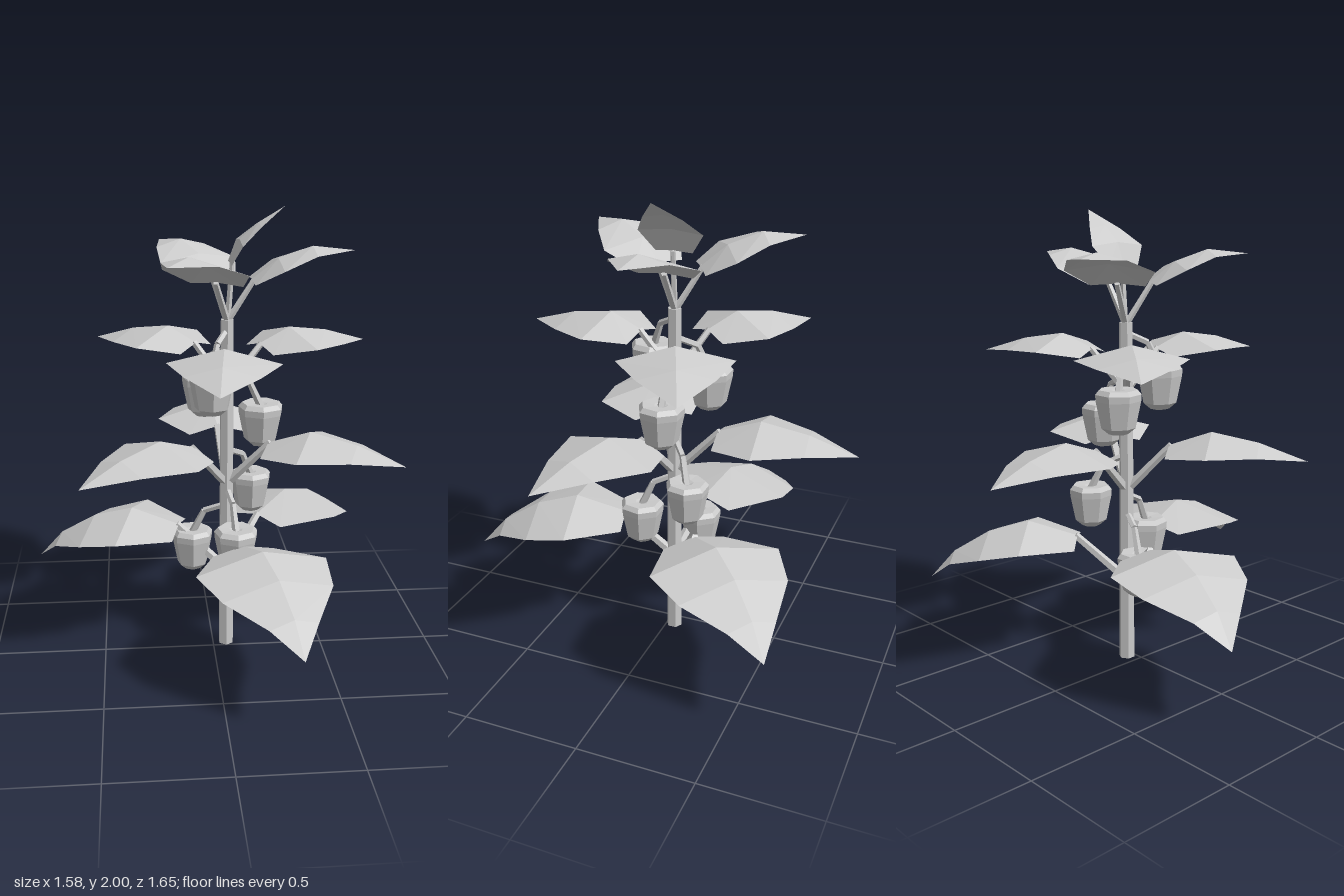
import * as THREE from 'three';

const STEM = new THREE.Vector3(0.06, 0, -0.035);
const solid = new THREE.MeshStandardMaterial({ color: 0xcccccc, flatShading: true });
const sheet = new THREE.MeshStandardMaterial({ color: 0xcccccc, flatShading: true, side: THREE.DoubleSide });

function addMesh(parent, name, geometry, material = solid) {
  const mesh = new THREE.Mesh(geometry, material);
  mesh.name = name;
  parent.add(mesh);
  return mesh;
}

// Straight tapered rod between two points
function addRod(parent, name, a, b, r0, r1) {
  const dir = b.clone().sub(a);
  const rod = addMesh(parent, name, new THREE.CylinderGeometry(r1, r0, dir.length(), 5));
  rod.position.copy(a).add(b).multiplyScalar(0.5);
  rod.quaternion.setFromUnitVectors(new THREE.Vector3(0, 1, 0), dir.normalize());
}

// Folded leaf blade along +x; stations are [distance, height, half width, edge drop]
function leafGeometry(stations) {
  const pos = [], index = [];
  for (const [r, y, w, drop] of stations) pos.push(r, y - drop, -w, r, y, 0, r, y - drop, w);
  for (let i = 0; i < stations.length - 1; i++) {
    const a = i * 3, b = a + 3;
    index.push(a, a + 1, b + 1, a, b + 1, b);
    index.push(a + 1, a + 2, b + 1, a + 2, b + 2, b + 1);
  }
  const g = new THREE.BufferGeometry();
  g.setAttribute('position', new THREE.Float32BufferAttribute(pos, 3));
  g.setIndex(index);
  const flat = g.toNonIndexed();
  flat.computeVertexNormals();
  return flat;
}

// Leaf with its stalk, turned around the stem (angle in degrees from +x towards +z)
function addLeaf(parent, angle, startY, stations, radius) {
  const leaf = new THREE.Group();
  leaf.name = 'leaf';
  const [r, y] = stations[0];
  addRod(leaf, 'leafStalk', new THREE.Vector3(0, startY, 0), new THREE.Vector3(r + 0.01, y, 0), radius, radius * 0.8);
  addMesh(leaf, 'leafBlade', leafGeometry(stations), sheet);
  leaf.position.copy(STEM);
  leaf.rotation.y = -THREE.MathUtils.degToRad(angle);
  parent.add(leaf);
}

// Bell-shaped fruit hanging from a bent stalk; topY is its shoulder height
function addFruit(parent, x, topY, z, radius, height) {
  const fruit = new THREE.Group();
  fruit.name = 'fruit';
  const profile = [[0, -1], [0.42, -1], [0.74, -0.86], [0.98, -0.25], [1, -0.1], [0.84, 0], [0.3, -0.02], [0, -0.07]]
    .map(([r, y]) => new THREE.Vector2(r * radius, y * height));
  addMesh(fruit, 'fruitBody', new THREE.LatheGeometry(profile, 7)).position.set(x, topY, z);
  const end = new THREE.Vector3(x, topY - 0.02, z);
  const start = new THREE.Vector3(STEM.x, topY + 0.14, STEM.z);
  const bend = start.clone().lerp(end, 0.65).setY(topY + 0.095);
  addRod(fruit, 'fruitStalk', start, bend, 0.014, 0.014);
  addRod(fruit, 'fruitStalk', bend, end, 0.014, 0.018);
  parent.add(fruit);
}

export function createModel() {
  const plant = new THREE.Group();
  plant.name = 'pepperPlant';

  // Main stem
  addMesh(plant, 'stem', new THREE.CylinderGeometry(0.03, 0.036, 1.53, 6)).position.set(STEM.x, 0.765, STEM.z);

  // Tiers of three leaves, shrinking towards the top
  const tiers = [
    { angle: 75.5, start: 0.37, radius: 0.022, stations: [
      [0.22, 0.575, 0.14, 0.03], [0.44, 0.64, 0.29, 0.07], [0.62, 0.59, 0.24, 0.06], [0.78, 0.495, 0.105, 0.03], [0.89, 0.37, 0, 0]] },
    { angle: 23, start: 0.79, radius: 0.021, stations: [
      [0.19, 1.0, 0.13, 0.035], [0.375, 1.065, 0.245, 0.07], [0.58, 1.025, 0.14, 0.04], [0.79, 0.95, 0, 0]] },
    { angle: 97.4, start: 1.23, radius: 0.018, stations: [
      [0.16, 1.41, 0.12, 0.03], [0.31, 1.47, 0.235, 0.06], [0.5, 1.44, 0.15, 0.04], [0.71, 1.375, 0, 0]] },
    { angle: 0, start: 1.52, radius: 0.015, stations: [
      [0.105, 1.7, 0.12, 0.01], [0.215, 1.785, 0.195, 0.03], [0.36, 1.835, 0.125, 0.03], [0.54, 1.815, 0, 0]] },
  ];
  for (const t of tiers)
    for (let i = 0; i < 3; i++) addLeaf(plant, t.angle + i * 120, t.start, t.stations, t.radius);

  // Upright leaf at the crown
  addLeaf(plant, 0, 1.5, [[0.01, 1.77, 0.08, 0.005], [0.05, 1.865, 0.14, 0.015], [0.13, 1.935, 0.085, 0.015], [0.24, 2.0, 0, 0]], 0.014);

  // Hanging fruits: x, shoulder y, z, radius, height
  const fruits = [
    [-0.09, 0.55, -0.1, 0.095, 0.19], [0.09, 0.63, 0.11, 0.098, 0.19], [0.18, 0.81, -0.14, 0.095, 0.185],
    [0.21, 1.16, -0.035, 0.1, 0.19], [-0.015, 1.345, 0.095, 0.1, 0.195], [-0.03, 1.265, -0.16, 0.1, 0.19],
  ];
  for (const f of fruits) addFruit(plant, ...f);

  return plant;
}
